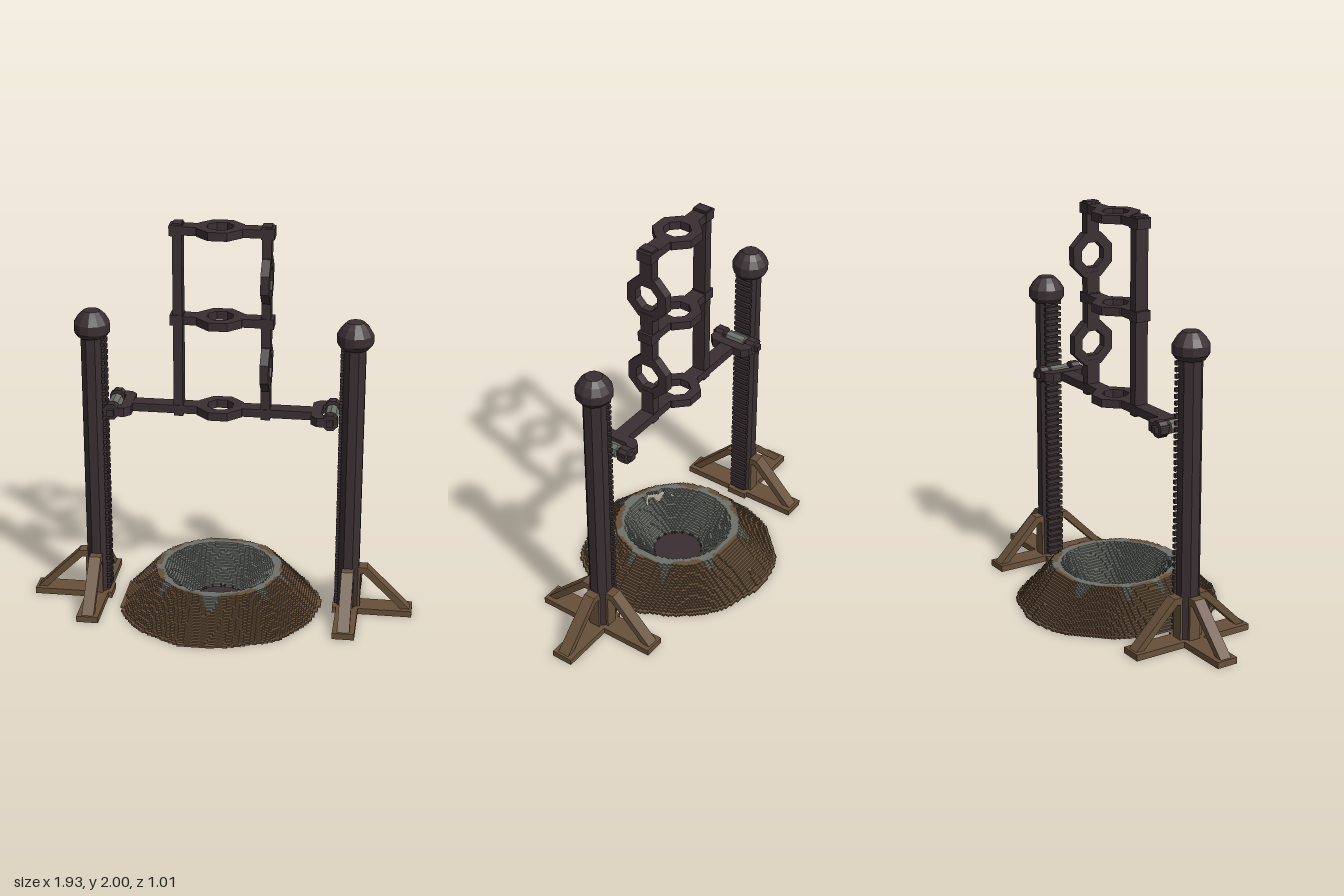
import * as THREE from 'three';
import { mergeGeometries } from 'three/addons/utils/BufferGeometryUtils.js';

const mat = (name, color, side = THREE.FrontSide) => {
  const m = new THREE.MeshStandardMaterial({ color, side, flatShading: true });
  m.name = name;
  return m;
};

export function createModel() {
  const model = new THREE.Group();
  model.name = 'liftFrameOverCrater';
  const iron = mat('darkIron', 0x3a2f32, THREE.DoubleSide);
  const earth = mat('brownEarth', 0x67503a, THREE.DoubleSide);
  const stone = mat('greyStone', 0x6e716a, THREE.DoubleSide);

  const CX = -0.01; // centre between the posts
  const RX = -0.02; // centre of the ladder frame

  const add = (parent, name, geo, material) => {
    const m = new THREE.Mesh(geo, material);
    m.name = name;
    parent.add(m);
    return m;
  };
  // box given by its limits
  const span = (x0, x1, y0, y1, z0, z1) =>
    new THREE.BoxGeometry(x1 - x0, y1 - y0, z1 - z0)
      .translate((x0 + x1) / 2, (y0 + y1) / 2, (z0 + z1) / 2);

  // flat octagonal ring, centred, in the xy plane
  const octagon = (path, r) => {
    for (let i = 0; i < 8; i++) {
      const a = (i + 0.5) * Math.PI / 4, k = r / Math.cos(Math.PI / 8);
      path[i ? 'lineTo' : 'moveTo'](Math.cos(a) * k, Math.sin(a) * k);
    }
    path.closePath();
    return path;
  };
  const ringGeometry = () => {
    const s = octagon(new THREE.Shape(), 0.11);
    s.holes.push(octagon(new THREE.Path(), 0.062));
    return new THREE.ExtrudeGeometry(s, { depth: 0.042, bevelEnabled: false }).translate(0, 0, -0.021);
  };

  // ---- posts with racks, caps and braced feet ----
  for (const s of [-1, 1]) {
    const post = new THREE.Group();
    post.name = s > 0 ? 'leftPost' : 'rightPost';
    post.position.x = CX + s * 0.64;
    post.rotation.y = s > 0 ? Math.PI : 0; // local +x points inwards
    model.add(post);

    add(post, 'column', new THREE.CylinderGeometry(0.058, 0.058, 1.42, 8)
      .rotateY(Math.PI / 8).translate(0, 0.72, 0), iron);
    const cap = [[0, 1.41], [0.07, 1.41], [0.089, 1.435], [0.089, 1.48], [0.068, 1.515], [0.042, 1.54], [0, 1.54]];
    add(post, 'cap', new THREE.LatheGeometry(cap.map(p => new THREE.Vector2(...p)), 12), iron);

    const teeth = [];
    for (let y = 0.05; y < 1.41; y += 0.0322) teeth.push(span(0.05, 0.066, y, y + 0.02, -0.045, 0.045));
    add(post, 'rackTeeth', mergeGeometries(teeth), iron);

    // three feet: outwards, front and back
    for (const turn of [Math.PI, Math.PI / 2, -Math.PI / 2]) {
      const foot = new THREE.Group();
      foot.name = 'foot';
      foot.rotation.y = turn;
      post.add(foot);
      add(foot, 'footPlate', span(0, 0.325, 0, 0.032, -0.055, 0.055), earth);
      const brace = new THREE.Shape([[0.05, 0.25], [0.095, 0.25], [0.315, 0.03], [0.27, 0.03], [0.08, 0.215], [0.05, 0.215]]
        .map(p => new THREE.Vector2(...p)));
      add(foot, 'brace', new THREE.ExtrudeGeometry(brace, { depth: 0.06, bevelEnabled: false })
        .translate(0, 0, -0.03), earth);
      add(foot, 'bracePad', span(0.05, 0.062, 0.03, 0.25, -0.03, 0.03), earth);
    }
    add(post, 'innerFootPlate', span(0, 0.075, 0, 0.032, -0.055, 0.055), earth);

    // fork at the end of the crossbar, holding the climbing gear
    const fork = new THREE.Group();
    fork.name = 'fork';
    fork.position.y = 1.06;
    post.add(fork);
    const c = new THREE.Shape([[0.07, 0.075], [0.07, 0.115], [0.17, 0.115], [0.2, 0.085], [0.2, -0.085], [0.17, -0.115],
      [0.07, -0.115], [0.07, -0.075], [0.135, -0.075], [0.15, -0.06], [0.15, 0.06], [0.135, 0.075]]
      .map(p => new THREE.Vector2(...p)));
    add(fork, 'forkArms', new THREE.ExtrudeGeometry(c, { depth: 0.046, bevelEnabled: false })
      .rotateX(-Math.PI / 2).translate(0, -0.023, 0), iron);
    for (const z of [-1, 1])
      add(fork, 'bearing', new THREE.CylinderGeometry(0.042, 0.042, 0.045, 8)
        .rotateY(Math.PI / 8).rotateX(Math.PI / 2).translate(0.105, 0, z * 0.093), iron);
    add(fork, 'axle', span(0.088, 0.122, -0.016, 0.016, -0.135, 0.135), iron);
    add(fork, 'gear', new THREE.CylinderGeometry(0.034, 0.034, 0.1, 8)
      .rotateX(Math.PI / 2).translate(0.105, 0, 0), stone);
  }

  // ---- ladder frame ----
  const frame = new THREE.Group();
  frame.name = 'ladderFrame';
  model.add(frame);
  const levels = [1.06, 1.52, 1.965];
  levels.forEach((y, i) => {
    const [x0, x1] = i ? [-0.262, 0.24] : [-0.47, 0.45];
    add(frame, 'barRight', span(x0, RX - 0.09, y - 0.021, y + 0.021, -0.038, 0.038), iron);
    add(frame, 'barLeft', span(RX + 0.09, x1, y - 0.021, y + 0.021, -0.038, 0.038), iron);
    add(frame, 'barRing', ringGeometry().rotateX(Math.PI / 2).translate(RX, y, 0), iron);
    if (i) for (const s of [-1, 1])
      add(frame, 'joint', new THREE.BoxGeometry(0.064, 0.052, 0.08).translate(RX + 0.01 + s * 0.219, y, 0), iron);
  });
  add(frame, 'rightUpright', span(-0.246, -0.2, 1.025, 2, -0.035, 0.035), iron);
  const gaps = [1.29, 1.735];
  [[1.025, gaps[0] - 0.085], [gaps[0] + 0.085, gaps[1] - 0.085], [gaps[1] + 0.085, 2]].forEach(([a, b]) =>
    add(frame, 'leftUpright', span(0.181, 0.227, a, b, -0.035, 0.035), iron));
  gaps.forEach(y => add(frame, 'uprightRing', ringGeometry().rotateY(Math.PI / 2).translate(0.204, y, 0), iron));

  // ---- crater: a stepped shell of small square cells ----
  const S = 0.0107, N = 51, MX = -0.025;
  const wave = (a, k) => Math.sin(3 * a + k) * 0.5 + Math.sin(7 * a + 2 * k) * 0.3 + Math.sin(13 * a + 3 * k) * 0.2;
  const polar = (i, j) => [Math.hypot(i, j) * S, Math.atan2(j, i)];
  // step height of a cell, or -1 outside the mound and in the crack
  const height = (i, j) => {
    const [r, a] = polar(i, j);
    const outer = 0.502 + 0.018 * wave(a, 1);
    if (r > outer) return -1;
    if (a > 1.75 && a < 2.45 && Math.abs(r - 0.268 - 0.01 * Math.sin(a * 20)) < 0.016 * Math.sin((a - 1.75) / 0.7 * Math.PI)) return -1;
    const rim = 0.315 + 0.008 * wave(a, 4);
    let y = 0.195;
    if (r > rim) y *= (outer - r) / (outer - rim);
    else if (r < 0.28) y = 0.012 + 0.183 * THREE.MathUtils.clamp((r - 0.125) / 0.155, 0, 1);
    return Math.max(1, Math.round(y / S));
  };
  const colourOf = (i, j) => {
    const [r, a] = polar(i, j);
    if (r < 0.13) return 2;
    const spike = Math.max(0, Math.sin(9 * a + 1.3 * Math.sin(2 * a))) ** 4;
    return r < 0.3 + 0.015 * wave(a, 2) + 0.065 * spike ? 1 : 0;
  };
  const faces = [[], [], []];
  const quad = (out, a, b, c, d) => out.push(...a, ...b, ...c, ...a, ...c, ...d);
  for (let i = -N; i <= N; i++) for (let j = -N; j <= N; j++) {
    const h = height(i, j);
    if (h < 0) continue;
    const out = faces[colourOf(i, j)];
    const x0 = MX + (i - 0.5) * S, x1 = x0 + S, z0 = (j - 0.5) * S, z1 = z0 + S, y = h * S;
    quad(out, [x0, y, z0], [x0, y, z1], [x1, y, z1], [x1, y, z0]);
    // risers down to lower neighbours
    const edges = [[1, 0, x1, z1, x1, z0], [-1, 0, x0, z0, x0, z1], [0, 1, x0, z1, x1, z1], [0, -1, x1, z0, x0, z0]];
    for (const [di, dj, ax, az, bx, bz] of edges) {
      const n = height(i + di, j + dj);
      if (n >= h) continue;
      const low = n < 0 ? Math.max(0, h - 2) * S : n * S;
      quad(out, [ax, low, az], [bx, low, bz], [bx, y, bz], [ax, y, az]);
    }
  }
  ['craterSlope', 'craterBowl', 'craterFloor'].forEach((name, k) => {
    const g = new THREE.BufferGeometry();
    g.setAttribute('position', new THREE.Float32BufferAttribute(faces[k], 3));
    g.computeVertexNormals();
    add(model, name, g, [earth, stone, iron][k]);
  });

  return model;
}
